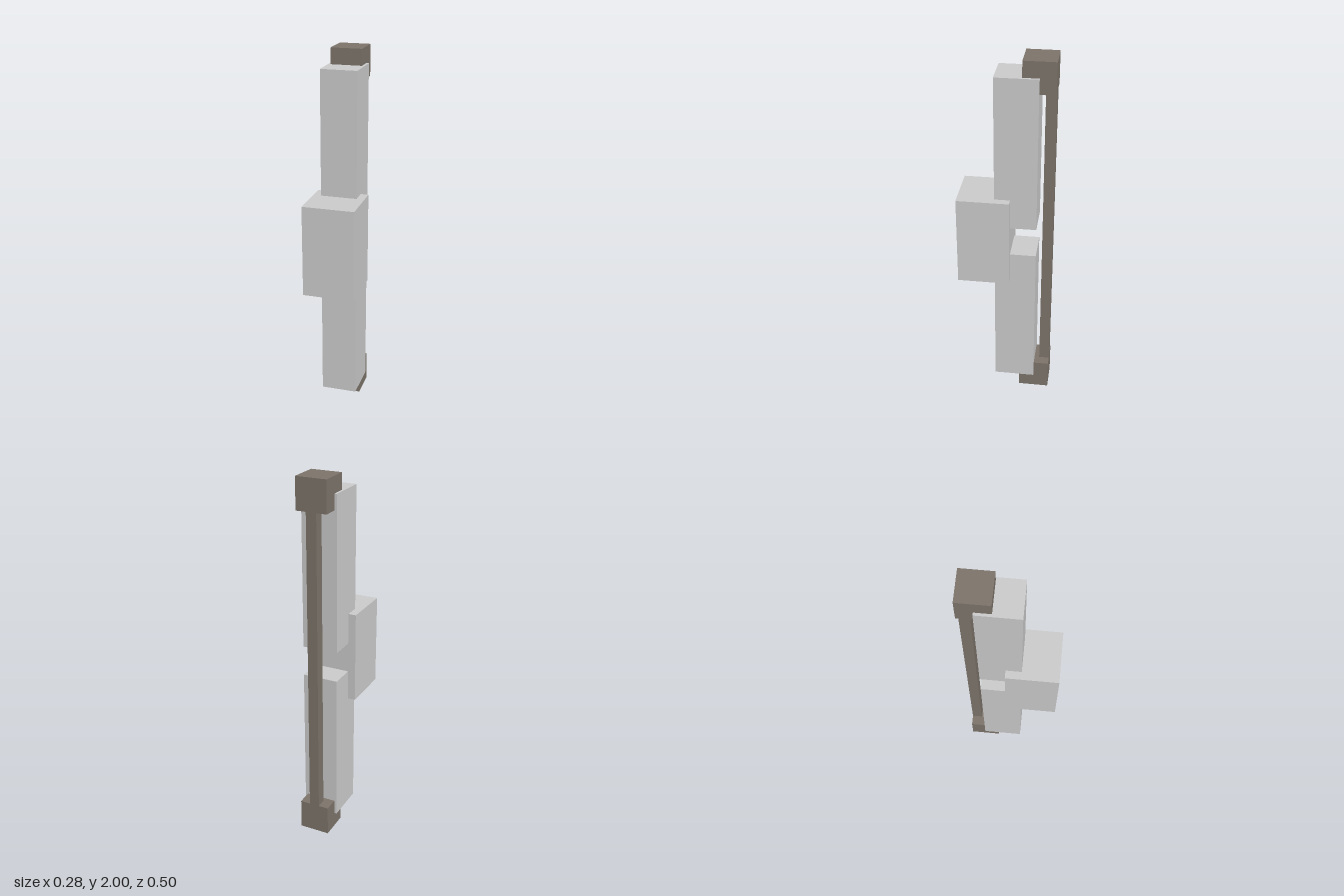
import * as THREE from 'three';

const grey = new THREE.MeshStandardMaterial({ color: 0xcccccc, flatShading: true });
const brown = new THREE.MeshStandardMaterial({ color: 0x7d746b, flatShading: true });

// Box given by its extents along each axis
function block(name, material, [x0, x1], [y0, y1], [z0, z1]) {
  const mesh = new THREE.Mesh(new THREE.BoxGeometry(x1 - x0, y1 - y0, z1 - z0), material);
  mesh.position.set((x0 + x1) / 2, (y0 + y1) / 2, (z0 + z1) / 2);
  mesh.name = name;
  return mesh;
}

export function createModel() {
  const model = new THREE.Group();
  model.name = 'bow';

  // Central grip, standing proud at the front
  model.add(block('grip', grey, [-0.139, 0.139], [0.755, 1.25], [-0.028, 0.25]));

  // Thin string along the back, joining the two tips
  model.add(block('string', brown, [-0.028, 0.028], [0.167, 1.833], [-0.25, -0.194]));

  // Limbs and tips, mirrored about mid height
  for (const [side, span] of [
    ['lower', (a, b) => [a, b]],
    ['upper', (a, b) => [2 - b, 2 - a]],
  ]) {
    model.add(block(side + 'Limb', grey, [-0.097, 0.097], span(0.085, 0.918), [-0.167, 0.055]));
    model.add(block(side + 'Tip', brown, [-0.083, 0.083], span(0, 0.167), [-0.25, -0.083]));
  }
  return model;
}
